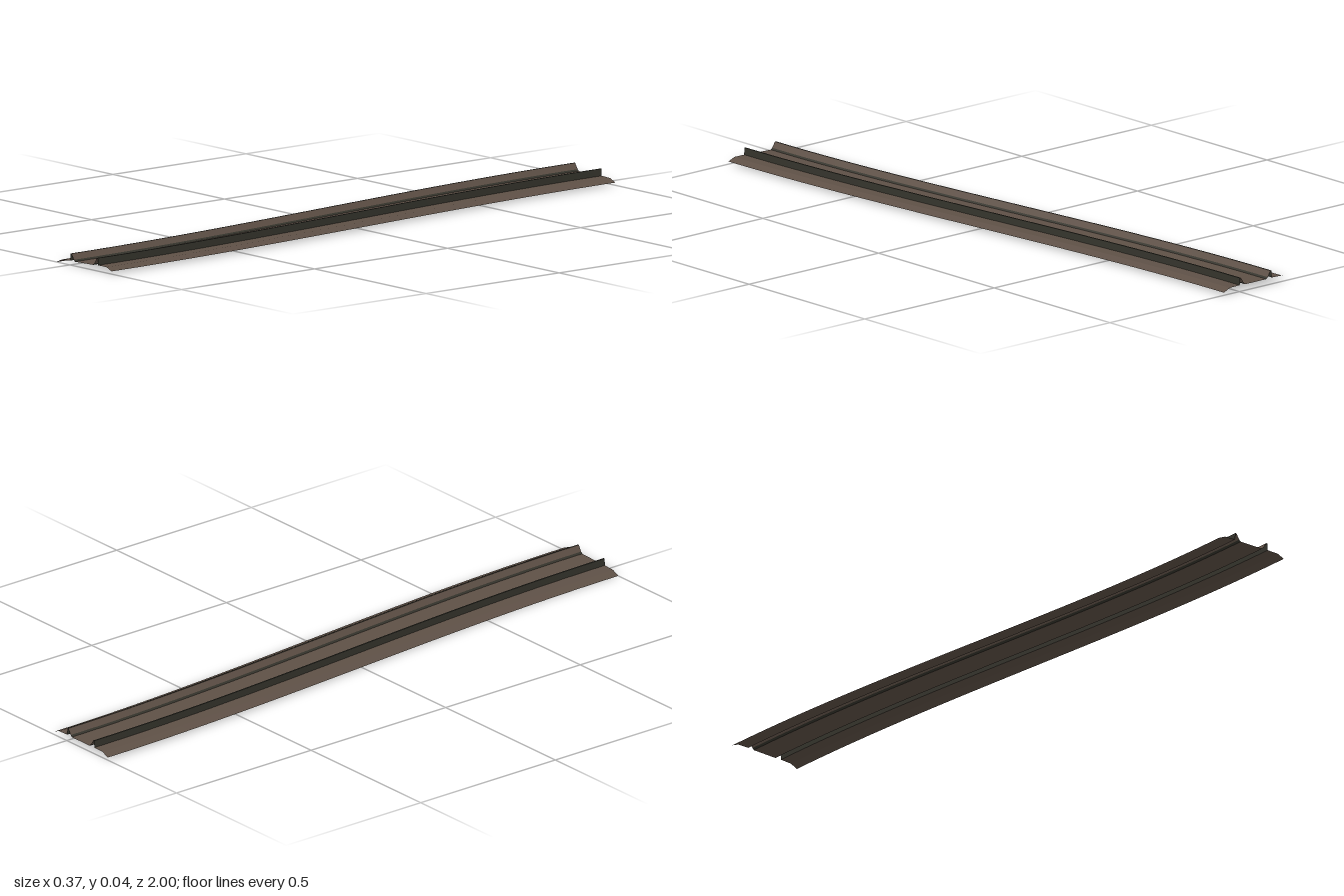
import * as THREE from 'three';

const STEPS = 40;

// Sweeps a cross-section (offset, height) along the gentle S-bend, with a hard edge at each corner
function sweep(profile) {
  const pos = [], index = [];
  for (let s = 0; s < profile.length - 1; s++) {
    const base = pos.length / 3;
    for (let i = 0; i <= STEPS; i++) {
      const t = i / STEPS;
      const ease = t * t * (3 - 2 * t);
      for (const [o, y] of [profile[s], profile[s + 1]]) {
        const bank = ease * 0.008 * (0.123 - o) / 0.246; // slight lean at the front end
        pos.push(o + (ease - 0.5) * 0.127, y - bank, t * 2 - 1);
      }
      if (i < STEPS) {
        const a = base + i * 2;
        index.push(a, a + 2, a + 1, a + 1, a + 2, a + 3);
      }
    }
  }
  const g = new THREE.BufferGeometry();
  g.setAttribute('position', new THREE.Float32BufferAttribute(pos, 3));
  g.setIndex(index);
  g.computeVertexNormals();
  return g;
}

export function createModel() {
  const group = new THREE.Group();
  const brown = new THREE.MeshStandardMaterial({ name: 'earth brown', color: 0x5e5046, side: THREE.DoubleSide });
  const dark = new THREE.MeshStandardMaterial({ name: 'dark steel', color: 0x35342c, side: THREE.DoubleSide });

  const add = (name, profile, material) => {
    const mesh = new THREE.Mesh(sweep(profile), material);
    mesh.name = name;
    group.add(mesh);
  };

  // Bed between the rails
  add('centreBed', [[-0.041, 0.018], [0.041, 0.018]], brown);

  // Each side, listed from the outer edge inwards
  const parts = [
    ['shoulder', [[0.123, 0.008], [0.1, 0.018], [0.062, 0.019]], brown],
    ['railOuterWall', [[0.062, 0.019], [0.061, 0.04], [0.057, 0.04]], dark],
    ['railInnerSlope', [[0.057, 0.04], [0.046, 0.023]], brown],
    ['railFoot', [[0.046, 0.023], [0.041, 0.018]], dark],
  ];
  for (const [name, profile, material] of parts) {
    add(name + 'Left', [...profile].reverse(), material);
    add(name + 'Right', profile.map(([o, y]) => [-o, y]), material);
  }
  return group;
}
